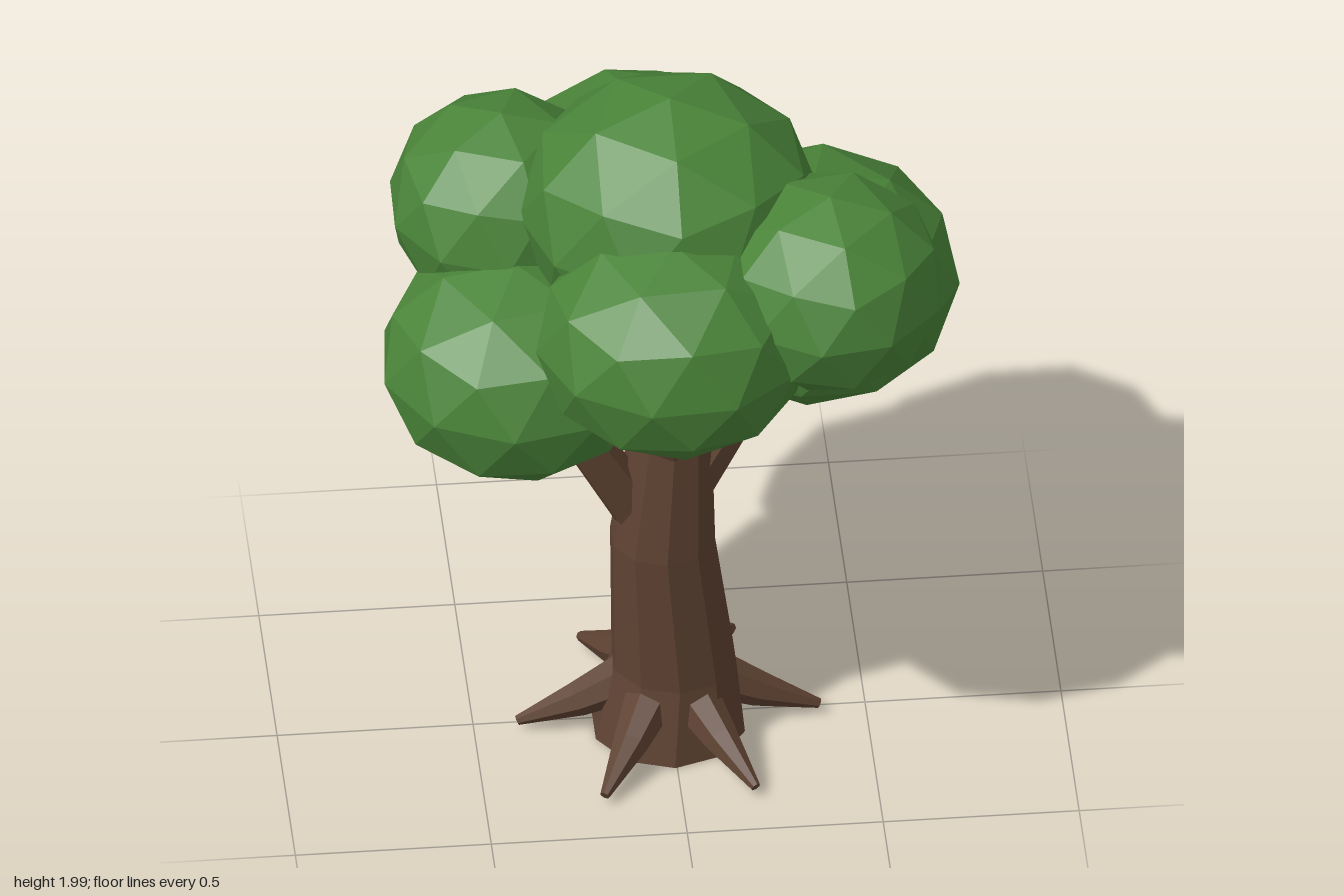
import * as THREE from 'three';

const bark = new THREE.MeshStandardMaterial({ color: 0x5e4232, flatShading: true });
bark.name = 'bark brown';
const leaf = new THREE.MeshStandardMaterial({ color: 0x4a8439, flatShading: true });
leaf.name = 'leaf green';

// Tapered limb through rings of [x, y, z, radius], listed from root to tip
function limb(name, rings, sides) {
  const n = rings.length - 1;
  const geo = new THREE.CylinderGeometry(1, 1, 1, sides, n);
  const centre = (i) => new THREE.Vector3(rings[i][0], rings[i][1], rings[i][2]);
  const dir = centre(n).sub(centre(0)).normalize();
  const turn = new THREE.Quaternion().setFromUnitVectors(new THREE.Vector3(0, 1, 0), dir);
  const pos = geo.attributes.position;
  const v = new THREE.Vector3();
  for (let i = 0; i < pos.count; i++) {
    const k = Math.round((pos.getY(i) + 0.5) * n);
    v.set(pos.getX(i), 0, pos.getZ(i)).multiplyScalar(rings[k][3]);
    v.applyQuaternion(turn).add(centre(k));
    pos.setXYZ(i, v.x, v.y, v.z);
  }
  geo.computeVertexNormals();
  const mesh = new THREE.Mesh(geo, bark);
  mesh.name = name;
  return mesh;
}

// Faceted foliage ball with a vertex at its top and bottom
function foliage(name, [x, y, z], [rx, ry, rz], spin) {
  const geo = new THREE.IcosahedronGeometry(1, 1);
  geo.rotateX(-Math.atan((1 + Math.sqrt(5)) / 2));
  geo.rotateY(spin);
  geo.scale(rx, ry, rz);
  geo.computeVertexNormals();
  const mesh = new THREE.Mesh(geo, leaf);
  mesh.name = name;
  mesh.position.set(x, y, z);
  return mesh;
}

export function createModel() {
  const tree = new THREE.Group();
  tree.name = 'tree';

  // Trunk, bending slightly as it rises
  tree.add(limb('trunk', [
    [-0.005, 0.012, 0.03, 0.2],
    [0.01, 0.22, 0.03, 0.163],
    [-0.02, 0.62, 0.04, 0.137],
    [0.005, 1.0, 0.035, 0.102],
    [0.0, 1.35, 0.03, 0.085],
  ], 10));

  // Branches reaching into the crown
  const branches = new THREE.Group();
  branches.name = 'branches';
  branches.add(
    limb('rightBranch', [[-0.05, 0.65, 0.04, 0.07], [-0.36, 1.2, 0.07, 0.05]], 8),
    limb('leftBranch', [[0.04, 0.76, 0.02, 0.075], [0.32, 1.25, -0.01, 0.055]], 8),
    limb('backBranch', [[-0.01, 0.84, 0.0, 0.07], [-0.04, 1.25, -0.22, 0.055]], 8),
    limb('frontBranch', [[0, 0.93, 0.07, 0.07], [-0.01, 1.3, 0.22, 0.055]], 8),
  );
  tree.add(branches);

  // Six roots spread evenly around the base
  const roots = new THREE.Group();
  roots.name = 'roots';
  for (let i = 0; i < 6; i++) {
    const a = (i * Math.PI) / 3;
    const at = (d, y, r) => [-0.005 + d * Math.cos(a), y, 0.03 + d * Math.sin(a), r];
    roots.add(limb('root', [at(0.09, 0.17, 0.07), at(0.23, 0.1, 0.047), at(0.385, 0.04, 0.013)], 7));
  }
  tree.add(roots);

  // Crown of overlapping foliage balls
  const crown = new THREE.Group();
  crown.name = 'crown';
  [
    ['topFoliage', [0, 1.655, 0.02], [0.39, 0.345, 0.38]],
    ['frontFoliage', [-0.02, 1.48, 0.345], [0.355, 0.3, 0.335]],
    ['upperLeftFoliage', [0.385, 1.59, 0.285], [0.295, 0.27, 0.32]],
    ['lowerRightFoliage', [-0.4, 1.25, 0.09], [0.35, 0.3, 0.36]],
    ['upperRightFoliage', [-0.41, 1.53, -0.205], [0.29, 0.28, 0.31]],
    ['backFoliage', [-0.05, 1.425, -0.315], [0.37, 0.33, 0.365]],
    ['lowerLeftFoliage', [0.375, 1.37, -0.03], [0.37, 0.32, 0.365]],
  ].forEach(([name, centre, radii], i) => crown.add(foliage(name, centre, radii, i * 0.7)));
  tree.add(crown);

  return tree;
}
